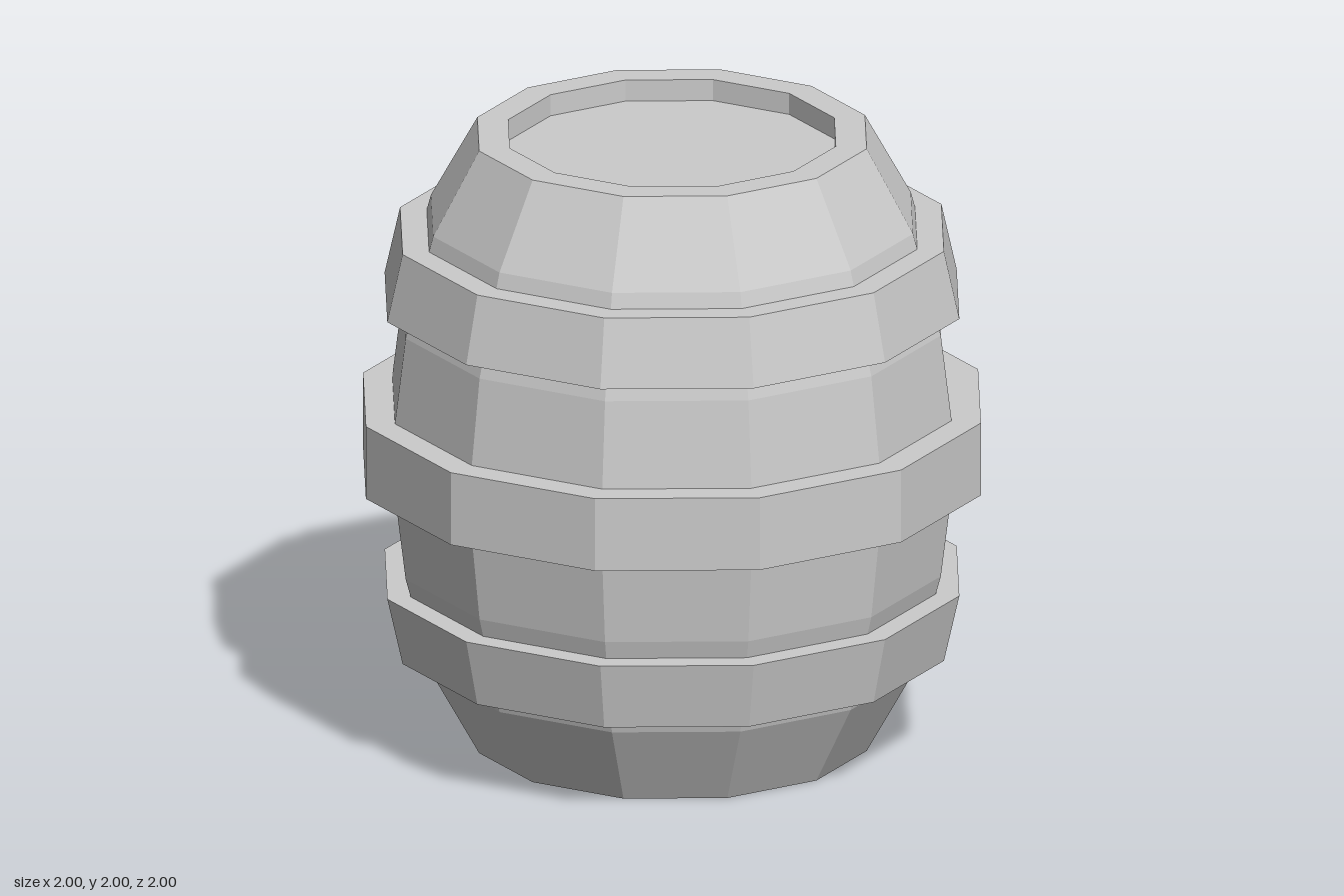
import * as THREE from 'three';

const SIDES = 12;
const material = new THREE.MeshStandardMaterial({ color: 0xcccccc, flatShading: true });

// Revolve a [radius, height] profile into a 12-sided mesh
function turned(name, profile) {
  const points = profile.map(([r, y]) => new THREE.Vector2(r, y));
  const mesh = new THREE.Mesh(new THREE.LatheGeometry(points, SIDES), material);
  mesh.name = name;
  return mesh;
}

// Closed hoop with its inner face buried in the staves
function hoop(name, y0, y1, r0, r1, inner) {
  return turned(name, [[inner, y0], [r0, y0], [r1, y1], [inner, y1], [inner, y0]]);
}

export function createModel() {
  const group = new THREE.Group();
  group.name = 'barrel';

  // Bulging body with recessed lids; the upper half mirrors the lower
  const bulge = 0.92, shoulder = 0.87;
  const lower = [[0, 0.07], [0.53, 0.07], [0.53, 0], [0.63, 0], [0.78, 0.27], [shoulder, 0.6]];
  const upper = lower.map(([r, y]) => [r, 2 - y]).reverse();
  const body = turned('body', [...lower, [bulge, 1], ...upper]);

  // The three rear edges run straight between the shoulders
  const pos = body.geometry.attributes.position;
  for (let i = 0; i < pos.count; i++) {
    const x = pos.getX(i), z = pos.getZ(i);
    if (Math.abs(pos.getY(i) - 1) < 0.01 && z < -0.7) {
      const k = shoulder / Math.hypot(x, z);
      pos.setX(i, x * k);
      pos.setZ(i, z * k);
    }
  }
  body.geometry.computeVertexNormals();
  group.add(body);

  // Hoops
  group.add(
    hoop('lowerHoop', 0.32, 0.54, 0.88, 0.93, 0.75),
    hoop('middleHoop', 0.88, 1.12, 1, 1, 0.82),
    hoop('upperHoop', 1.46, 1.68, 0.93, 0.88, 0.75)
  );
  return group;
}
